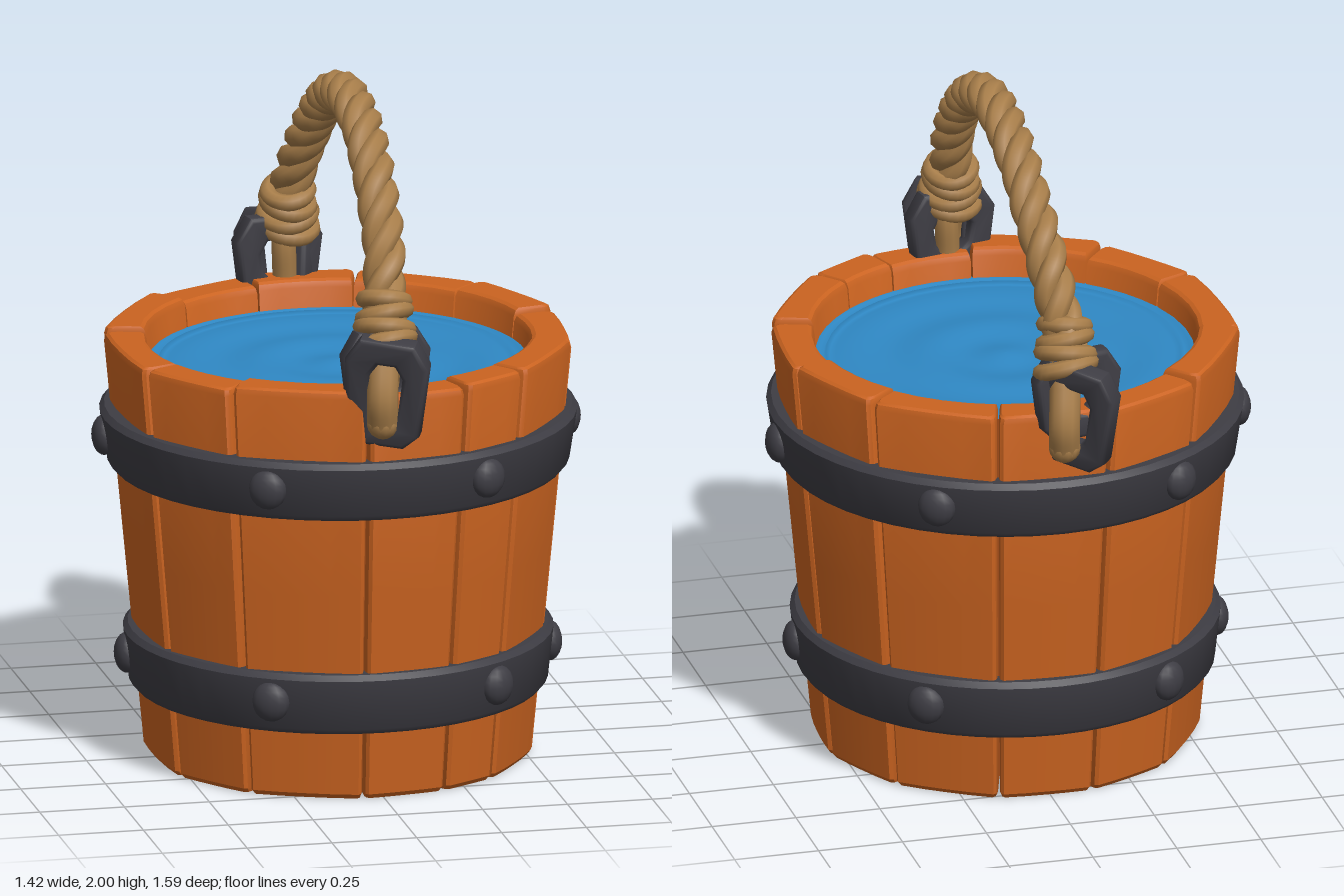
import * as THREE from 'three';
import { toCreasedNormals } from 'three/addons/utils/BufferGeometryUtils.js';

const paint = (name, color, side = THREE.FrontSide) => {
  const m = new THREE.MeshStandardMaterial({ color, side });
  m.name = name;
  return m;
};
const V = (x, y, z) => new THREE.Vector3(x, y, z);
const V2 = (pts) => pts.map(([x, y]) => new THREE.Vector2(x, y));

const HEIGHT = 1.24, WALL = 0.118;
const outerRadius = (y) => 0.554 + 0.118 * y / HEIGHT;

// One plank of the wall with a nearly flat face, lofted upwards between two angles
function staveGeometry(a0, a1, top) {
  const rows = [[0, 0.01], [0.014, 0], [0.62, 0], [top - 0.022, 0], [top - 0.006, 0.006], [top, 0.016]];
  const pos = [], idx = [];
  const sagitta = 0.5 * (1 - Math.cos((a1 - a0) / 2));
  let n = 0;
  for (const [y, inset] of rows) {
    const R = outerRadius(y) - inset, r = outerRadius(y) - WALL + inset;
    const s = a0 + 0.005 + inset * 0.7, e = a1 - 0.005 - inset * 0.7;
    const section = [[R - 0.02, s], [R - 0.004, s + 0.006]];
    for (let k = 0; k <= 4; k++) {
      section.push([R + 0.004 - R * sagitta * Math.sin(k * Math.PI / 4), s + 0.022 + (e - s - 0.044) * k / 4]);
    }
    section.push([R - 0.004, e - 0.006], [R - 0.02, e]);
    for (let k = 4; k >= 0; k--) section.push([r, s + (e - s) * k / 4]);
    n = section.length;
    for (const [q, a] of section) pos.push(q * Math.cos(a), y, q * Math.sin(a));
  }
  const last = rows.length - 1;
  for (let i = 0; i < last; i++) for (let j = 0; j < n; j++) {
    const a = i * n + j, b = i * n + (j + 1) % n;
    idx.push(a, a + n, b, b, a + n, b + n);
  }
  // end caps fan out from the middle of the section
  for (const row of [0, last]) {
    const c = pos.length / 3, mid = (a0 + a1) / 2, y = rows[row][0], q = outerRadius(y) - WALL / 2;
    pos.push(q * Math.cos(mid), y, q * Math.sin(mid));
    for (let j = 0; j < n; j++) {
      const a = row * n + j, b = row * n + (j + 1) % n;
      idx.push(c, row ? b : a, row ? a : b);
    }
  }
  const g = new THREE.BufferGeometry();
  g.setAttribute('position', new THREE.Float32BufferAttribute(pos, 3));
  g.setIndex(idx);
  return toCreasedNormals(g, 0.5);
}

// Iron hoop with softened edges
function bandGeometry(y0, y1, r0, r1) {
  return toCreasedNormals(new THREE.LatheGeometry(V2([
    [r0 - 0.06, y0], [r0 - 0.014, y0], [r0, y0 + 0.016],
    [r1, y1 - 0.016], [r1 - 0.014, y1], [r1 - 0.06, y1],
  ]), 48), 0.7);
}

// Three strands twisted around a path
function twistedRope(path, turns, offset, radius, segments, material, name) {
  const rope = new THREE.Group();
  rope.name = name;
  const X = V(1, 0, 0);
  for (let s = 0; s < 3; s++) {
    const pts = [];
    for (let i = 0; i <= segments; i++) {
      const u = i / segments, p = path.getPointAt(u);
      const N = X.clone().cross(path.getTangentAt(u)).normalize();
      const phi = s * Math.PI * 2 / 3 - u * turns * Math.PI * 2;
      pts.push(p.addScaledVector(X, offset * Math.cos(phi)).addScaledVector(N, offset * Math.sin(phi)));
    }
    const tube = new THREE.TubeGeometry(new THREE.CatmullRomCurve3(pts), segments * 2, radius, 8);
    const strand = new THREE.Mesh(tube, material);
    strand.name = 'ropeStrand';
    rope.add(strand);
  }
  return rope;
}

// Chunky forged link: chamfered outline with a matching hole
function linkGeometry(w, h, bar, depth) {
  const outline = (hw, hh, c) => V2([
    [-hw * 0.85 + c, -hh], [hw * 0.85 - c, -hh], [hw * 0.85, -hh + c], [hw, hh - c * 1.6],
    [hw - c, hh], [-hw + c, hh], [-hw, hh - c * 1.6], [-hw * 0.85, -hh + c],
  ]);
  const shape = new THREE.Shape(outline(w / 2 - 0.014, h / 2 - 0.014, 0.036));
  shape.holes.push(new THREE.Path(outline(w / 2 - bar, h / 2 - bar, 0.03)));
  const g = new THREE.ExtrudeGeometry(shape, {
    depth: depth - 0.028, bevelEnabled: true, bevelThickness: 0.014, bevelSize: 0.014, bevelSegments: 3,
  });
  g.translate(0, 0, 0.014 - depth / 2);
  return toCreasedNormals(g, 0.8);
}

export function createModel() {
  const wood = paint('wood', 0xca6320);
  const woodInside = paint('wood between planks', 0xa9501a, THREE.DoubleSide);
  const iron = paint('iron', 0x3e3d44);
  const ropeTan = paint('rope', 0xa87e4a);
  const blue = paint('water', 0x2f88c4);
  const base = paint('base grey', 0x6a6a6a);

  const model = new THREE.Group();
  model.name = 'bucket';
  const body = new THREE.Group();
  body.name = 'bucketBody';
  body.position.set(-0.012, 0, 0.015);
  model.add(body);
  const add = (parent, name, geometry, material) => {
    const m = new THREE.Mesh(geometry, material);
    m.name = name;
    parent.add(m);
    return m;
  };

  // Wall planks of uneven width
  const seams = [-73, -40, -11, 19, 50, 69, 95, 130, 158, 195, 230, 258, 287].map(THREE.MathUtils.degToRad);
  for (let i = 0; i < 12; i++) {
    add(body, 'stave', staveGeometry(seams[i], seams[i + 1], 1.24 + 0.008 * Math.sin(i * 2.3)), wood);
  }
  // Thin shell that closes the gaps between the planks
  add(body, 'seamLiner', new THREE.LatheGeometry(V2([
    [outerRadius(0.05) - 0.05, 0.05], [outerRadius(1.215) - 0.05, 1.215],
  ]), 48), woodInside);

  // Recessed floor
  const floor = add(body, 'floor', new THREE.CircleGeometry(0.48, 40), base);
  floor.rotation.x = Math.PI / 2;
  floor.position.y = 0.11;

  // Water with a raised edge and round ripples
  const ripple = [[0.565, 1.158], [0.532, 1.162], [0.524, 1.146], [0.516, 1.162]];
  for (let i = 0; i <= 30; i++) {
    const r = 0.505 * (1 - i / 30);
    ripple.push([r, 1.153 + 0.006 * Math.cos(r * 28) * (1 - r)]);
  }
  add(body, 'water', new THREE.LatheGeometry(V2(ripple), 48), blue);

  // Iron hoops and their rivets (angles in degrees from +x towards +z)
  const hoops = [
    { y0: 0.86, y1: 1.035, r0: 0.666, r1: 0.688, rivets: [0, 63, 120, 187, 237, 302] },
    { y0: 0.205, y1: 0.385, r0: 0.604, r1: 0.62, rivets: [6, 54, 121, 187, 235, 307] },
  ];
  const rivetGeometry = new THREE.SphereGeometry(0.056, 14, 10).scale(1, 1.05, 0.65);
  for (const h of hoops) {
    add(body, 'hoop', bandGeometry(h.y0, h.y1, h.r0, h.r1), iron);
    for (const deg of h.rivets) {
      const a = THREE.MathUtils.degToRad(deg), r = (h.r0 + h.r1) / 2;
      const rivet = add(body, 'rivet', rivetGeometry, iron);
      rivet.position.set(r * Math.cos(a), (h.y0 + h.y1) / 2 + 0.005, r * Math.sin(a));
      rivet.rotation.y = Math.PI / 2 - a;
    }
  }

  // Rope handle
  const arc = new THREE.CatmullRomCurve3([
    V(-0.01, 1.36, 0.645), V(-0.005, 1.5, 0.59), V(0.01, 1.63, 0.52), V(0.015, 1.77, 0.4), V(0.02, 1.89, 0.22),
    V(0.02, 1.937, 0.01), V(0.02, 1.89, -0.21), V(0.015, 1.77, -0.4), V(0, 1.63, -0.53),
    V(-0.015, 1.5, -0.61), V(-0.025, 1.36, -0.66),
  ]);
  model.add(twistedRope(arc, 6.5, 0.03, 0.034, 130, ropeTan, 'ropeHandle'));

  // Fittings at both ends of the handle; the back one is turned round and hangs more askew
  const ends = [
    { name: 'frontFitting', turn: 0, x: 0, linkX: -0.02, linkZ: 0.69, linkTurn: -0.42, stapleX: -0.01 },
    { name: 'backFitting', turn: Math.PI, x: -0.03, linkX: 0.01, linkZ: 0.685, linkTurn: -0.75, stapleX: 0.02 },
  ];
  for (const end of ends) {
    const fitting = new THREE.Group();
    fitting.name = end.name;
    fitting.rotation.y = end.turn;
    fitting.position.x = end.x;
    model.add(fitting);

    const outer = add(fitting, 'hangingLink', linkGeometry(0.245, 0.335, 0.06, 0.065), iron);
    outer.position.set(end.linkX, 1.25, end.linkZ);
    outer.rotation.set(0.22, end.linkTurn, 0);
    const inner = add(fitting, 'rimStaple', linkGeometry(0.27, 0.26, 0.06, 0.06), iron);
    inner.position.set(end.stapleX, 1.29, 0.625);
    inner.rotation.y = 0.2;

    // rope end threaded through the links
    const eye = new THREE.CatmullRomCurve3([
      V(-0.01, 1.42, 0.63), V(-0.025, 1.33, 0.675), V(-0.035, 1.23, 0.705), V(-0.03, 1.15, 0.685),
    ]);
    add(fitting, 'ropeEye', new THREE.TubeGeometry(eye, 20, 0.046, 10), ropeTan);
    const tail = add(fitting, 'ropeTail', new THREE.SphereGeometry(0.047, 12, 8), ropeTan);
    tail.position.set(-0.03, 1.155, 0.687);
    const inside = new THREE.CatmullRomCurve3([V(0, 1.42, 0.62), V(0.005, 1.34, 0.6), V(0, 1.24, 0.61)]);
    add(fitting, 'ropeInside', new THREE.TubeGeometry(inside, 12, 0.036, 10), ropeTan);

    // binding wound around the rope
    for (let k = 0; k < 4; k++) {
      const coil = add(fitting, 'bindingCoil', new THREE.TorusGeometry(0.073 - 0.005 * k, 0.025, 8, 24), ropeTan);
      coil.position.set(-0.015 + 0.003 * k, 1.385 + 0.037 * k, 0.643 - 0.016 * k);
      coil.rotation.set(Math.PI / 2 - 0.38, 0.14 * (k % 2 ? -1 : 1), 0);
    }
  }
  return model;
}
